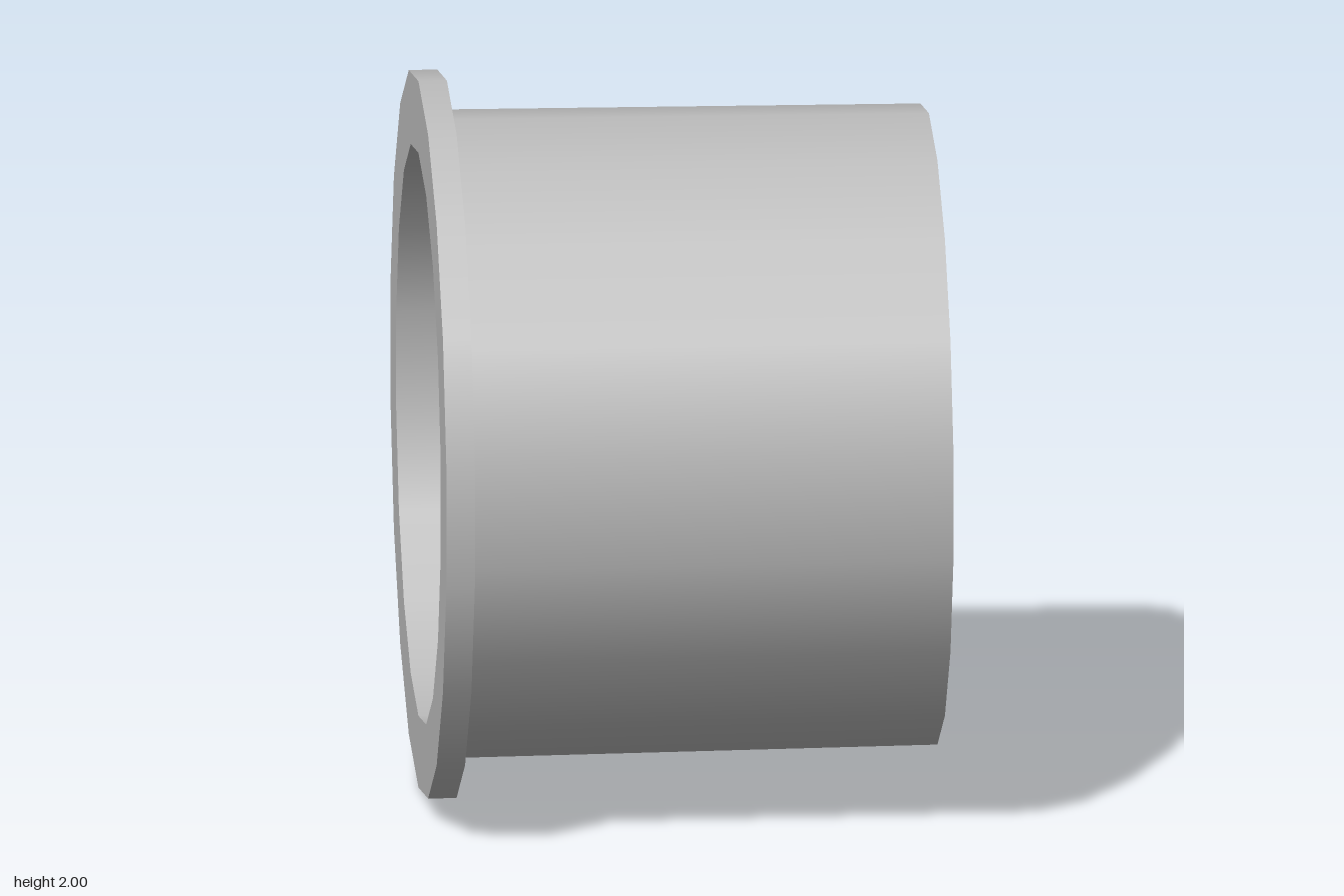
import * as THREE from 'three';
import { mergeGeometries } from 'three/addons/utils/BufferGeometryUtils.js';

// Revolve a [radius, x] profile about the x axis: sharp between bands, smooth around
function revolve(profile, sides) {
  const bands = [];
  for (let i = 0; i < profile.length - 1; i++) {
    const pts = [profile[i], profile[i + 1]].map(([r, x]) => new THREE.Vector2(r, x));
    bands.push(new THREE.LatheGeometry(pts, sides, -Math.PI / 2, Math.PI * 2));
  }
  return mergeGeometries(bands).rotateZ(-Math.PI / 2);
}

export function createModel() {
  const model = new THREE.Group();
  model.name = 'ductedNozzle';
  const grey = new THREE.MeshStandardMaterial({ color: 0xbcbcbc });
  grey.name = 'grey';

  const add = (name, geometry) => {
    const mesh = new THREE.Mesh(geometry, grey);
    mesh.name = name;
    mesh.position.y = 1;
    model.add(mesh);
    return mesh;
  };

  // Barrel with end flange, slightly tapered walls and chamfered open lip
  add('barrel', revolve([
    [0.797, -0.7], [1, -0.7], [1, -0.622], [0.89, -0.622],
    [0.88, 0.7], [0.81, 0.66], [0.797, -0.7],
  ], 18));

  // Central hub with conical nose and a small blind hole
  add('hub', revolve([
    [0, -0.62], [0.18, -0.62], [0.18, 0.19], [0.167, 0.21],
    [0.055, 0.33], [0.025, 0.33], [0.025, 0.3], [0, 0.3],
  ], 9));

  // Three swept vanes joining hub to barrel; the root rides up onto the nose
  const outline = [
    [-0.48, 0.1], [0.2, 0.08], [0.295, 0.09], [0.215, 0.165],
    [0.385, 0.803], [-0.31, 0.803], [-0.47, 0.17],
  ].map(([x, r]) => new THREE.Vector2(x, r));
  const vane = new THREE.ExtrudeGeometry(new THREE.Shape(outline), { depth: 0.07, bevelEnabled: false });
  vane.translate(0, 0, -0.035);
  for (let i = 0; i < 3; i++) {
    add('vane' + (i + 1), vane).rotation.x = (i * Math.PI * 2) / 3;
  }
  return model;
}
